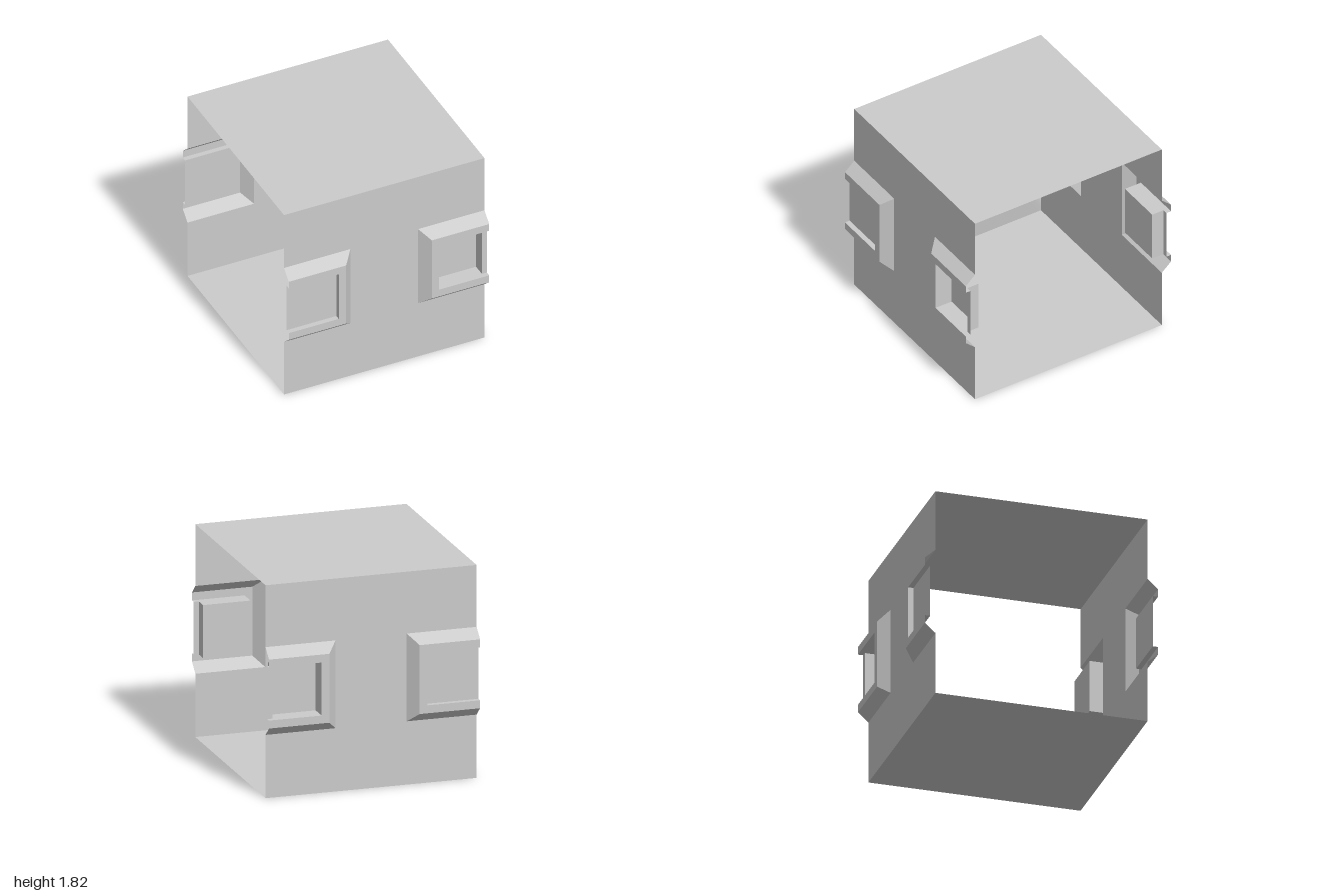
import * as THREE from 'three';

const H = 0.91;          // half width of the shell
const OUT = 1.0;         // face of the window frames
const PANE = 0.955;      // depth of the shallow panes
const DEEP = 0.845;      // depth of the deep recesses
const POST = 0.865;      // where a deep recess ends against its post

const material = new THREE.MeshStandardMaterial({
  color: 0xcccccc, side: THREE.DoubleSide, flatShading: true,
});

// Flat mesh from four-cornered faces; sx and sz mirror it across x and z
function sheet(name, quads, sx = 1, sz = 1) {
  const pos = [];
  for (const q of quads) {
    const order = sx * sz > 0 ? [0, 1, 2, 0, 2, 3] : [0, 2, 1, 0, 3, 2];
    for (const i of order) pos.push(q[i][0] * sx, q[i][1], q[i][2] * sz);
  }
  const geo = new THREE.BufferGeometry();
  geo.setAttribute('position', new THREE.Float32BufferAttribute(pos, 3));
  geo.computeVertexNormals();
  const mesh = new THREE.Mesh(geo, material);
  mesh.name = name;
  return mesh;
}

// Rectangle outline, from the outer end in towards the middle and back
const loop = (xi, y0, y1, z, xe = H) =>
  [[xe, y1, z], [xi, y1, z], [xi, y0, z], [xe, y0, z]];

// Three-sided band between two outlines, open at the outer end
const band = (a, b) => [0, 1, 2].map((i) => [a[i], a[i + 1], b[i + 1], b[i]]);

// Upright strip between two (x, z) positions
const upright = (x0, z0, x1, z1, y0, y1) =>
  [[x0, y1, z0], [x0, y0, z0], [x1, y0, z1], [x1, y1, z1]];

// Window opening in the wall
const hole = (dy) => ({ x: 0.307, y0: 0.541 + dy, y1: 1.291 + dy });

// Half window that runs off the end of the wall
function makeWindow(name, sx, sz, dy, deep) {
  const g = new THREE.Group();
  g.name = name;
  const h = hole(dy);
  const y0 = 0.689 + dy, y1 = 1.142 + dy, xi = 0.456;
  const edge = loop(0.389, 0.621 + dy, 1.21 + dy, OUT);
  const rim = loop(xi, y0, y1, OUT);
  const inner = loop(xi, y0, y1, PANE);
  g.add(sheet('frameBevel', band(loop(h.x, h.y0, h.y1, H), edge), sx, sz));
  g.add(sheet('frameFace', band(edge, rim), sx, sz));
  g.add(sheet('reveal', band(rim, inner), sx, sz));
  if (deep) {
    const floor = loop(xi, y0, y1, DEEP, POST);
    g.add(sheet('recess', [...band(loop(xi, y0, y1, PANE, POST), floor), floor], sx, sz));
    g.add(sheet('post', [
      upright(POST, DEEP, POST, PANE, y0, y1),
      upright(POST, PANE, H, PANE, y0, y1),
    ], sx, sz));
  } else {
    g.add(sheet('pane', [inner], sx, sz));
  }
  return g;
}

// Wall notched at both ends for the windows
function makeWall(name, sz, dyPlus, dyMinus) {
  const notch = (s, dy) => {
    const h = hole(dy);
    return [[H, h.y0], [h.x, h.y0], [h.x, h.y1], [H, h.y1]].map(([x, y]) => [x * s, y]);
  };
  const outline = [
    [-H, 0], [H, 0], ...notch(1, dyPlus),
    [H, 2 * H], [-H, 2 * H], ...notch(-1, dyMinus).reverse(),
  ];
  const shape = new THREE.Shape(outline.map(([x, y]) => new THREE.Vector2(x * sz, y)));
  const geo = new THREE.ShapeGeometry(shape);
  geo.translate(0, 0, H);
  if (sz < 0) geo.rotateY(Math.PI);
  const mesh = new THREE.Mesh(geo, material);
  mesh.name = name;
  return mesh;
}

export function createModel() {
  const model = new THREE.Group();
  model.name = 'corridorSection';

  // Roof and floor of the open-ended shell
  model.add(sheet('roof', [[[-H, 2 * H, H], [H, 2 * H, H], [H, 2 * H, -H], [-H, 2 * H, -H]]]));
  model.add(sheet('floor', [[[-H, 0, -H], [H, 0, -H], [H, 0, H], [-H, 0, H]]]));

  // Front and back walls; deep windows on the left end, shallow on the right
  for (const [side, sz, dyMinus] of [['front', 1, -0.007], ['back', -1, 0]]) {
    model.add(makeWall(side + 'Wall', sz, 0, dyMinus));
    model.add(makeWindow(side + 'LeftWindow', 1, sz, 0, true));
    model.add(makeWindow(side + 'RightWindow', -1, sz, dyMinus, false));
  }
  return model;
}
